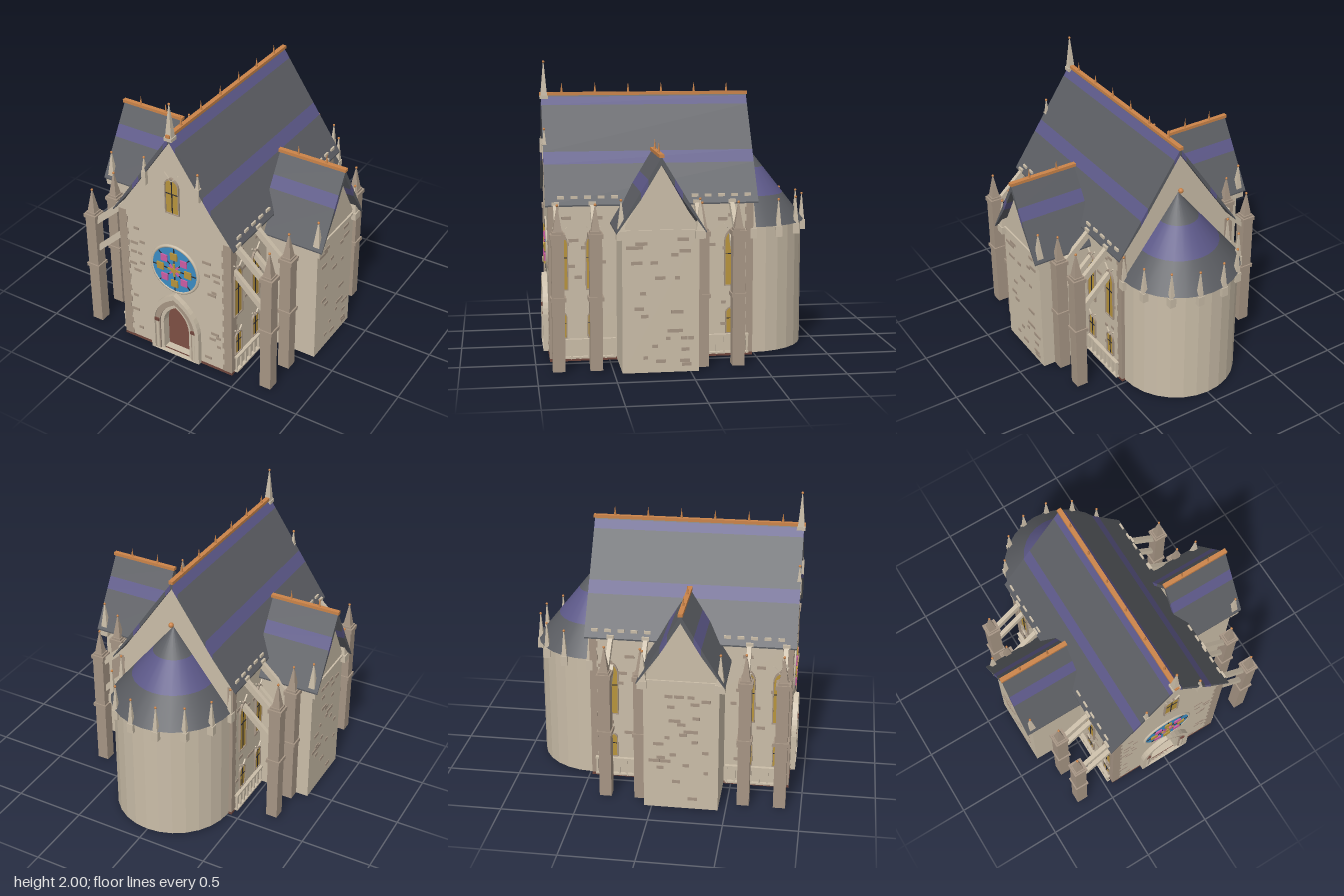
import * as THREE from 'three';

const mat = (name, color) => Object.assign(new THREE.MeshStandardMaterial({ color }), { name });
const stone = mat('limestone', 0xcabda8), brown = mat('weathered stone', 0xa69584), slate = mat('slate', 0x5b5d62);
const violet = mat('violet slate', 0x5c5888), copper = mat('copper', 0xcb8449), gold = mat('gold glass', 0xb8943c);
const blue = mat('blue glass', 0x3a8cc4), pink = mat('pink glass', 0xcc5ca4), floor = mat('red floor', 0x70463c), lead = mat('dark lead', 0x2b2a30);

let seed = 7;
const rnd = (a, b) => { seed = (seed * 16807) % 2147483647; return a + (b - a) * seed / 2147483647; };

function add(parent, name, geo, material, x = 0, y = 0, z = 0) {
  const m = new THREE.Mesh(geo, material);
  m.name = name;
  m.position.set(x, y, z);
  parent.add(m);
  return m;
}
function group(parent, name) {
  const g = new THREE.Group();
  g.name = name;
  parent.add(g);
  return g;
}
const box = (p, name, m, w, h, d, x, y, z) => add(p, name, new THREE.BoxGeometry(w, h, d), m, x, y, z);
const extrude = (shape, depth) => new THREE.ExtrudeGeometry(shape, { depth, bevelEnabled: false, curveSegments: 8 });
const poly = (pts) => new THREE.Shape(pts.map(([x, y]) => new THREE.Vector2(x, y)));
function faceted(geo) {
  const g = geo.toNonIndexed();
  g.computeVertexNormals();
  return g;
}

// Pointed arch outline
function pointed(w, base, spring, top) {
  const s = new THREE.Shape(), c = spring + (top - spring) * 0.65;
  s.moveTo(-w, base).lineTo(w, base).lineTo(w, spring);
  s.quadraticCurveTo(w * 0.9, c, 0, top).quadraticCurveTo(-w * 0.9, c, -w, spring);
  return s;
}
function archBand(outer, inner, depth) {
  const s = pointed(...outer);
  s.holes.push(pointed(...inner));
  return extrude(s, depth);
}

// Square block with a four-sided spire and a copper ball
function pinnacle(p, name, m, x, y, z, w, blockH, spireH, turn = 0) {
  const g = group(p, name);
  g.position.set(x, y, z);
  g.rotation.y = turn;
  box(g, 'block', m, w, blockH, w, 0, blockH / 2, 0);
  const cone = faceted(new THREE.CylinderGeometry(0.003, w * 0.55, spireH, 4).rotateY(Math.PI / 4));
  add(g, 'spire', cone, m, 0, blockH + spireH / 2, 0);
  add(g, 'ball', new THREE.SphereGeometry(0.009, 8, 6), copper, 0, blockH + spireH, 0);
}

// Gable roof along z, split into slate bands by height
function gableRoof(p, name, half, eave, ridge, th, z0, z1, stripes) {
  const g = group(p, name), ys = [eave, ...stripes.flat(), ridge];
  const xAt = (y) => half * (ridge - y) / (ridge - eave);
  for (const s of [-1, 1]) for (let i = 0; i < ys.length - 1; i++) {
    const [a, b] = [ys[i], ys[i + 1]];
    const shape = poly([[s * xAt(a), a], [s * xAt(b), b], [s * xAt(b), b - th], [s * xAt(a), a - (i ? th : 0.01)]]);
    add(g, 'slope band', extrude(shape, z1 - z0), i % 2 ? violet : slate, 0, 0, z0);
  }
  box(g, 'ridge', copper, 0.032, 0.022, z1 - z0 + 0.015, 0, ridge + 0.005, (z0 + z1) / 2);
  return g;
}
const spike = (p, x, y, z) => add(p, 'ridge spike', new THREE.ConeGeometry(0.01, 0.075, 6), copper, x, y + 0.037, z);

// Lancet window facing +z, with base at y = 0
function lancet(p, name, w, h) {
  const g = group(p, name), sp = h * 0.78;
  add(g, 'pane', extrude(pointed(w * 0.88, 0.005, sp, h * 0.97), 0.006), gold);
  add(g, 'frame', archBand([w, 0, sp, h], [w * 0.86, 0.006, sp, h * 0.95], 0.014), brown);
  box(g, 'mullion', lead, 0.006, h * 0.93, 0.004, 0, h * 0.47, 0.008);
  box(g, 'crossbar', lead, w * 1.7, 0.005, 0.004, 0, h * 0.55, 0.008);
  for (const s of [-1, 1]) box(g, 'crossed tip', stone, 0.008, w * 1.4, 0.01, s * w * 0.5, h, 0.009).rotation.z = -s * 0.75;
  return g;
}

export function createModel() {
  const root = new THREE.Group();
  root.name = 'church';

  // Nave shell
  const nave = group(root, 'nave');
  box(nave, 'floor', floor, 0.885, 0.02, 1.385, 0, 0.01, 0.21);
  const gable = () => poly([[-0.44, 0.02], [0.44, 0.02], [0.44, 1.08], [0, 1.735], [-0.44, 1.08]]);
  const front = gable();
  front.holes.push(pointed(0.105, 0.022, 0.25, 0.41));
  add(nave, 'frontWall', extrude(front, 0.05), stone, 0, 0, 0.85);
  add(nave, 'backWall', extrude(gable(), 0.04), stone, 0, 0, -0.48);
  for (const s of [-1, 1]) {
    box(nave, 'sideWall', stone, 0.04, 1.06, 1.36, s * 0.42, 0.55, 0.21);
    for (let i = 0; i < 22; i++) {
      const a = i % 2 ? 0.06 : 0.072, y = 0.02 + (i + 0.5) * 0.048;
      box(nave, 'quoin', brown, a, 0.048, 0.132 - a, s * (0.443 - a / 2), y, 0.903 - (0.132 - a) / 2);
      box(nave, 'quoin', brown, 0.04, 0.048, a * 0.8, s * 0.423, y, -0.482 + a * 0.4);
    }
  }
  box(nave, 'altar', stone, 0.2, 0.06, 0.1, 0, 0.05, -0.3);
  add(nave, 'altarStem', new THREE.CylinderGeometry(0.012, 0.018, 0.05, 8), stone, 0, 0.1, -0.3);
  add(nave, 'altarOrb', new THREE.SphereGeometry(0.035, 16, 12), blue, 0, 0.15, -0.3);

  // Nave roof
  const roof = gableRoof(root, 'naveRoof', 0.475, 1.067, 1.77, 0.04, -0.51, 0.922, [[1.32, 1.4], [1.7, 1.755]]);
  for (let i = 0; i < 6; i++) spike(roof, 0, 1.78, 0.78 - i * 0.23);
  for (const s of [-1, 1]) for (let i = 0; i < 15; i++) {
    const z = -0.44 + i * 0.09;
    if (z < -0.05 || z > 0.42) box(roof, 'snow guard', stone, 0.012, 0.02, 0.045, s * 0.452, 1.115, z);
  }
  add(roof, 'backFinial', new THREE.SphereGeometry(0.018, 10, 8), copper, 0, 1.46, -0.52);

  // Front gable spires
  pinnacle(root, 'apexSpire', stone, 0, 1.74, 0.903, 0.058, 0.025, 0.23);
  box(root, 'apexBand', copper, 0.03, 0.02, 0.062, 0, 1.775, 0.903);
  for (const s of [-1, 1]) pinnacle(root, 'gablePinnacle', stone, s * 0.205, 1.35, 0.912, 0.032, 0.1, 0.1);
  lancet(root, 'gableWindow', 0.055, 0.28).position.set(0, 1.18, 0.9);

  // Portal
  const portal = group(root, 'portal');
  add(portal, 'outerArch', archBand([0.195, 0.01, 0.27, 0.53], [0.165, 0.012, 0.27, 0.49], 0.038), stone, 0, 0, 0.898);
  add(portal, 'middleArch', archBand([0.165, 0.01, 0.27, 0.49], [0.128, 0.012, 0.26, 0.44], 0.027), brown, 0, 0, 0.898);
  add(portal, 'innerArch', archBand([0.128, 0.01, 0.26, 0.44], [0.104, 0.012, 0.25, 0.41], 0.016), stone, 0, 0, 0.898);
  for (const s of [-1, 1]) {
    add(portal, 'column', new THREE.CylinderGeometry(0.014, 0.014, 0.24, 10), stone, s * 0.148, 0.135, 0.92);
    box(portal, 'capital', floor, 0.036, 0.022, 0.036, s * 0.148, 0.265, 0.918);
  }

  // Rose window
  const rose = group(root, 'roseWindow');
  rose.position.set(0, 0.73, 0.9);
  const disc = (r, d) => new THREE.CylinderGeometry(r, r, d, 40).rotateX(Math.PI / 2);
  add(rose, 'glass', disc(0.178, 0.008), blue, 0, 0, 0.004);
  add(rose, 'rim', new THREE.TorusGeometry(0.183, 0.012, 8, 48), stone);
  for (let i = 0; i < 8; i++) {
    const a = i * Math.PI / 4;
    const bar = box(rose, 'spoke', lead, 0.17, 0.007, 0.006, Math.cos(a) * 0.088, Math.sin(a) * 0.088, 0.009);
    bar.rotation.z = a;
    const tile = box(rose, 'medallion', i % 2 ? pink : gold, 0.054, 0.054, 0.009, Math.cos(a) * 0.11, Math.sin(a) * 0.11, 0.014);
    if (i % 2) tile.scale.set(0.95, 0.95, 1);
    const petal = box(rose, 'petal', i % 2 ? pink : gold, 0.032, 0.014, 0.009, Math.cos(a) * 0.035, Math.sin(a) * 0.035, 0.013);
    petal.rotation.z = a;
  }
  add(rose, 'heart', disc(0.02, 0.009), gold, 0, 0, 0.017);

  // Transepts
  for (const s of [-1, 1]) {
    const t = group(root, s > 0 ? 'leftTransept' : 'rightTransept');
    t.position.set(0, 0, 0.2);
    t.rotation.y = s * Math.PI / 2;
    const body = poly([[-0.25, 0.01], [0.25, 0.01], [0.25, 0.94], [0, 1.375], [-0.25, 0.94]]);
    add(t, 'walls', extrude(body, 0.395), stone, 0, 0, 0.435);
    const r = gableRoof(t, 'transeptRoof', 0.29, 0.942, 1.422, 0.05, 0.392, 0.88, [[1.2, 1.28]]);
    spike(r, 0, 1.432, 0.53);
    spike(r, 0, 1.432, 0.74);
    box(t, 'cornice', stone, 0.53, 0.015, 0.02, 0, 0.942, 0.832);
    for (const e of [-1, 1]) pinnacle(t, 'cornerPinnacle', stone, e * 0.255, 0.89, 0.83, 0.066, 0.055, 0.2);
    for (let i = 0; i < 26; i++)
      box(t, 'brick', brown, rnd(0.03, 0.08), 0.022, 0.006, rnd(-0.2, 0.2), 0.06 + Math.floor(rnd(0, 34)) * 0.025, 0.832);
  }

  // Piers, flying buttresses, side windows and balustrades
  for (const s of [-1, 1]) {
    const side = group(root, s > 0 ? 'leftButtresses' : 'rightButtresses');
    const beam = (name, x0, y0, x1, y1, z, h) => {
      const b = box(side, name, stone, Math.hypot(x1 - x0, y1 - y0), h, 0.03, s * (x0 + x1) / 2, (y0 + y1) / 2, z);
      b.rotation.z = s * Math.atan2(y1 - y0, x1 - x0);
    };
    for (const z of [0.855, 0.61, -0.09, -0.33]) {
      box(side, 'pier', brown, 0.082, 0.9, 0.082, s * 0.7, 0.46, z);
      box(side, 'pierBand', brown, 0.102, 0.026, 0.102, s * 0.7, 0.487, z);
      box(side, 'pierCap', brown, 0.098, 0.03, 0.098, s * 0.7, 0.9, z);
      pinnacle(side, 'pierPinnacle', brown, s * 0.7, 0.91, z, 0.074, 0.02, 0.17);
      beam('upperFlyer', 0.43, 1.08, 0.68, 0.85, z, 0.045);
      beam('lowerFlyer', 0.43, 0.86, 0.68, 0.62, z, 0.04);
      box(side, 'flyerHead', stone, 0.05, 0.025, 0.05, s * 0.452, 1.075, z);
      const wz = z > 0.8 ? 0.825 : z - 0.005;
      for (const [y, w, h] of [[0.49, 0.052, 0.4], [0.16, 0.042, 0.19]]) {
        const win = lancet(side, 'sideWindow', w, h);
        win.position.set(s * 0.44, y, wz);
        win.rotation.y = s * Math.PI / 2;
      }
    }
    for (const [z0, z1] of [[0.46, 0.88], [-0.45, -0.06]]) {
      const mid = (z0 + z1) / 2;
      box(side, 'handrail', stone, 0.025, 0.014, z1 - z0, s * 0.462, 0.15, mid);
      box(side, 'bottomRail', stone, 0.025, 0.012, z1 - z0, s * 0.462, 0.03, mid);
      for (let i = 0; i < 8; i++)
        box(side, 'baluster', stone, 0.014, 0.13, 0.012, s * 0.462, 0.085, z0 + 0.01 + i * (z1 - z0 - 0.02) / 7);
    }
    for (let i = 0; i < 22; i++) {
      const z = i % 2 ? rnd(0.5, 0.82) : rnd(-0.42, -0.08);
      box(side, 'brick', brown, 0.006, 0.022, rnd(0.03, 0.07), s * 0.442, 0.2 + Math.floor(rnd(0, 32)) * 0.025, z);
    }
  }

  // Scattered darker bricks on the front wall
  for (let i = 0; i < 22; i++) {
    const x = (i % 2 ? 1 : -1) * rnd(0.24, 0.35);
    box(nave, 'brick', brown, rnd(0.03, 0.07), 0.02, 0.006, x, 0.08 + Math.floor(rnd(0, 40)) * 0.025, 0.902);
  }

  // Apse with a banded half-cone roof and a ring of pinnacles
  const apse = group(root, 'apse');
  apse.position.z = -0.485;
  const half = [Math.PI / 2, Math.PI];
  add(apse, 'wall', faceted(new THREE.CylinderGeometry(0.42, 0.42, 0.875, 14, 1, false, ...half)), stone, 0, 0.4475, 0);
  const rings = [0.435, 0.285, 0.14, 0.001], yAt = (r) => 0.885 + 0.55 * (1 - r / 0.435);
  for (let i = 0; i < 3; i++) {
    const h = yAt(rings[i + 1]) - yAt(rings[i]);
    const cone = new THREE.CylinderGeometry(rings[i + 1], rings[i], h, 14, 1, i > 0, ...half);
    add(apse, 'roofBand', cone, i === 1 ? violet : slate, 0, yAt(rings[i]) + h / 2, -0.005);
  }
  for (let i = 0; i < 8; i++) {
    const a = Math.PI / 2 + i * Math.PI / 7;
    pinnacle(apse, 'apsePinnacle', stone, Math.sin(a) * 0.425, 0.81, Math.cos(a) * 0.425, 0.046, 0.07, 0.185);
  }
  return root;
}
